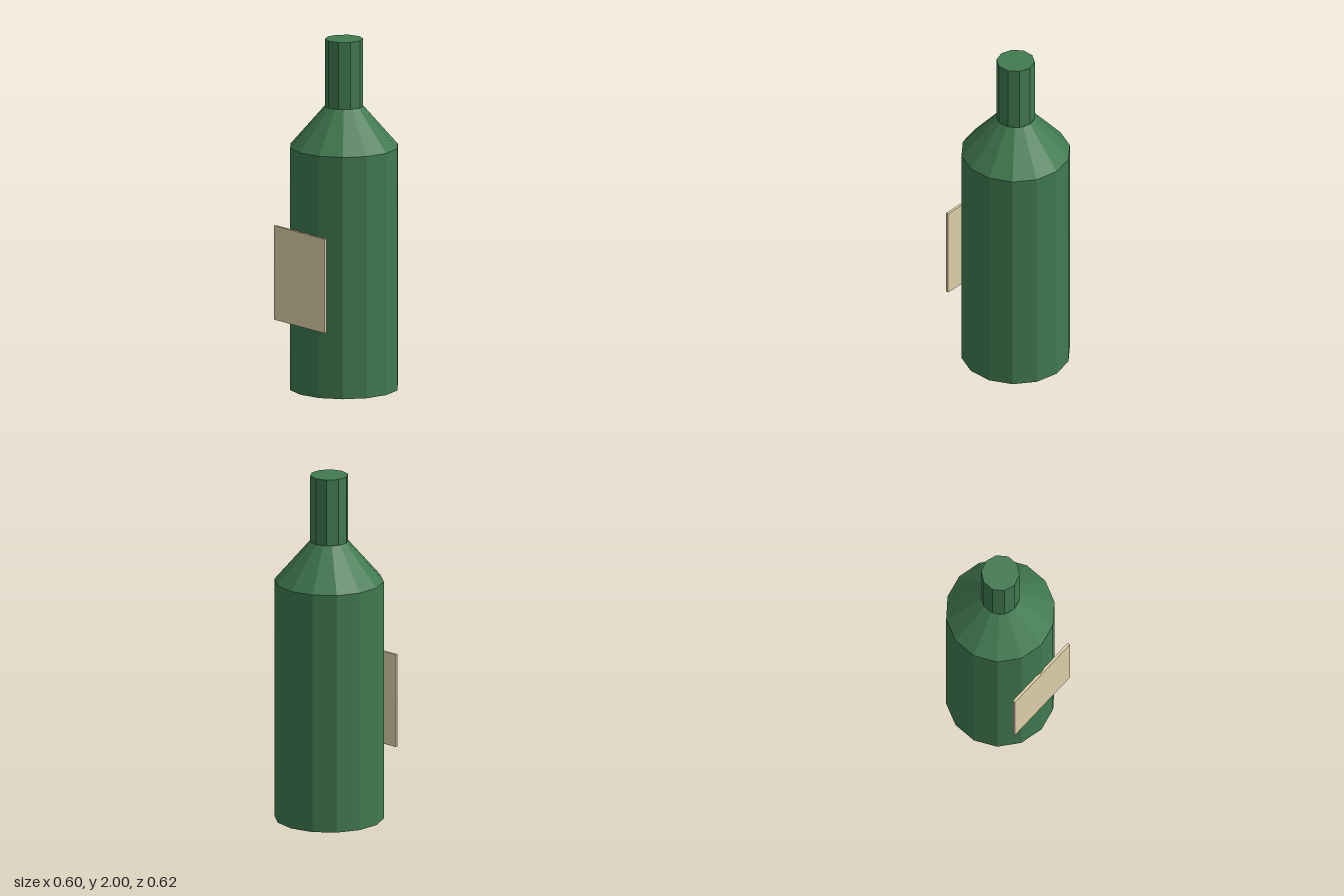
import * as THREE from 'three';

export function createModel() {
  const bottle = new THREE.Group();
  bottle.name = 'bottle';

  const greenGlass = new THREE.MeshStandardMaterial({ color: 0x417a50, flatShading: true });
  greenGlass.name = 'green glass';
  const creamPaper = new THREE.MeshStandardMaterial({ color: 0xe0d0ab, flatShading: true });
  creamPaper.name = 'cream paper';

  const axisZ = -0.004; // the plate in front shifts the bottle back slightly

  // A faceted section of the bottle between two heights
  function section(name, topRadius, bottomRadius, y0, y1, sides) {
    const geometry = new THREE.CylinderGeometry(topRadius, bottomRadius, y1 - y0, sides);
    const mesh = new THREE.Mesh(geometry, greenGlass);
    mesh.name = name;
    mesh.position.set(0, (y0 + y1) / 2, axisZ);
    bottle.add(mesh);
  }

  section('body', 0.3077, 0.3077, 0, 1.3846, 14);
  section('shoulder', 0.1077, 0.3077, 1.3846, 1.6154, 14);
  section('neck', 0.1077, 0.1077, 1.6154, 2, 10);

  // Flat label plate on the front
  const label = new THREE.Mesh(new THREE.BoxGeometry(0.4615, 0.5385, 0.0154), creamPaper);
  label.name = 'label';
  label.position.set(0, 0.6615, axisZ + 0.3077);
  bottle.add(label);

  return bottle;
}
